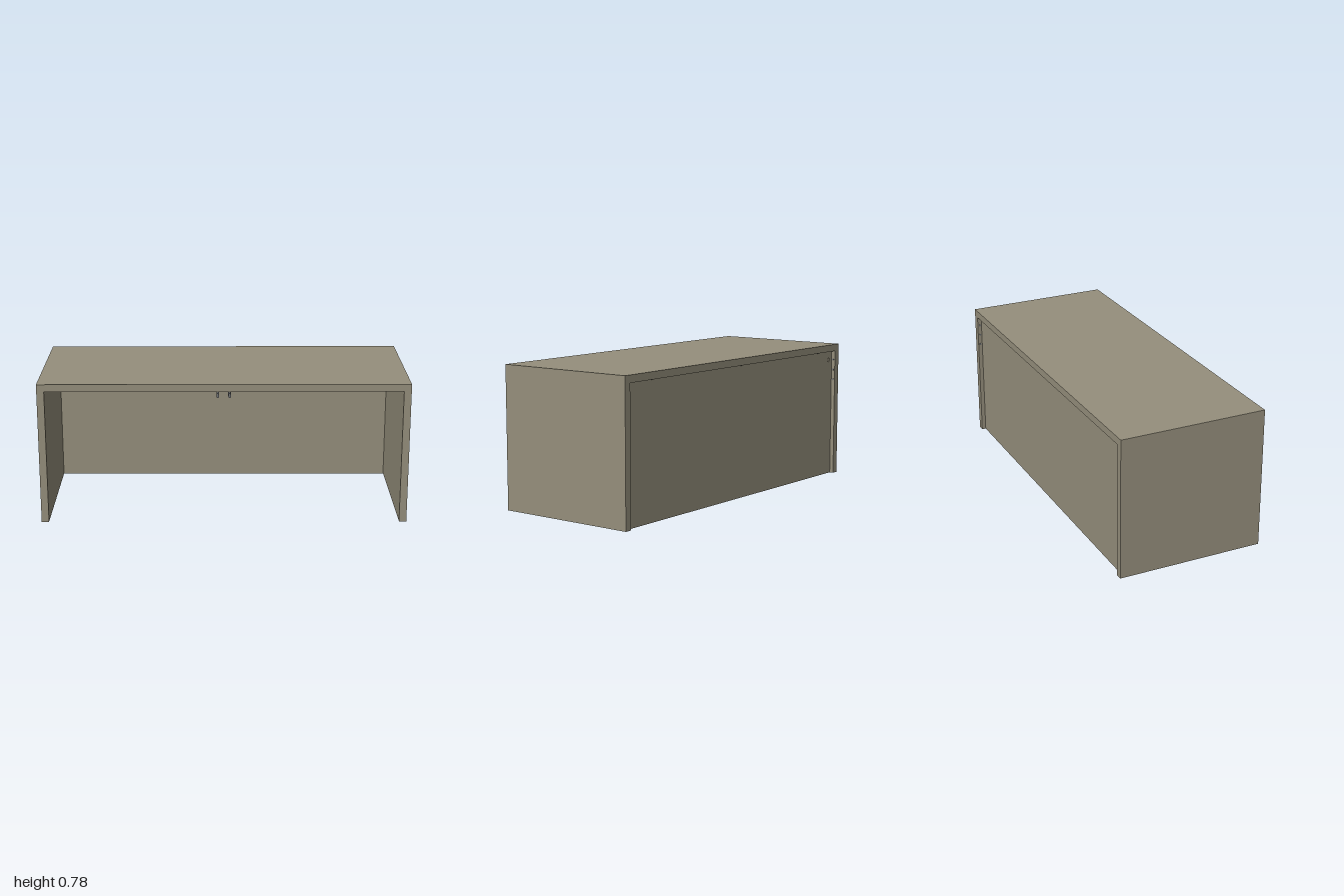
import * as THREE from 'three';

const W = 1, H = 0.782, T = 0.04;       // half width, height, board thickness
const BACK = -0.42, FRONT = 0.395;

const boardMat = new THREE.MeshStandardMaterial({ color: 0x958f7c });
const metalMat = new THREE.MeshStandardMaterial({ color: 0x707274 });

function part(name, geometry, material, x = 0, y = 0, z = 0) {
  const mesh = new THREE.Mesh(geometry, material);
  mesh.name = name;
  mesh.position.set(x, y, z);
  return mesh;
}

const extrude = (shape, depth) =>
  new THREE.ExtrudeGeometry(shape, { depth, bevelEnabled: false, curveSegments: 10 });

// Upright slot outline with round ends
function slot(width, height) {
  const r = width / 2, s = height / 2 - r;
  const shape = new THREE.Shape();
  shape.absarc(0, s, r, 0, Math.PI);
  shape.absarc(0, -s, r, Math.PI, Math.PI * 2);
  shape.closePath();
  return shape;
}

export function createModel() {
  const model = new THREE.Group();
  model.name = 'desk';

  // Top and two side boards as one continuous arch
  const arch = new THREE.Shape([
    [-W, 0], [-W + T, 0], [-W + T, H - T], [W - T, H - T],
    [W - T, 0], [W, 0], [W, H], [-W, H],
  ].map(([x, y]) => new THREE.Vector2(x, y)));
  model.add(part('topAndSides', extrude(arch, FRONT - BACK), boardMat, 0, 0, BACK));

  // Thin back panel, set in from the rear edge, with a cable hole
  const panel = new THREE.Shape([
    [-W + T, 0], [W - T, 0], [W - T, H - T], [-W + T, H - T],
  ].map(([x, y]) => new THREE.Vector2(x, y)));
  const hole = new THREE.Path();
  hole.absarc(-0.925, 0.69, 0.012, 0, Math.PI * 2, true);
  panel.holes.push(hole);
  model.add(part('backPanel', extrude(panel, 0.006), boardMat, 0, 0, -0.397));

  // Pair of pegs under the front edge of the top
  for (const x of [-0.034, 0.029]) {
    model.add(part('frontPeg', extrude(slot(0.014, 0.024), 0.08), metalMat, x, 0.727, 0.34));
  }

  // Small fasteners in the rear recess
  const screw = new THREE.CylinderGeometry(0.006, 0.006, 0.004, 12);
  for (const x of [-0.78, 0, 0.78]) {
    model.add(part('topScrew', screw, metalMat, x, H - T - 0.001, -0.408));
  }
  for (const side of [-1, 1]) {
    for (const y of [0.69, 0.63, 0.57]) {
      const mesh = part('sideScrew', screw, metalMat, side * (W - T - 0.001), y, -0.408);
      mesh.rotation.z = Math.PI / 2;
      model.add(mesh);
    }
  }
  return model;
}
